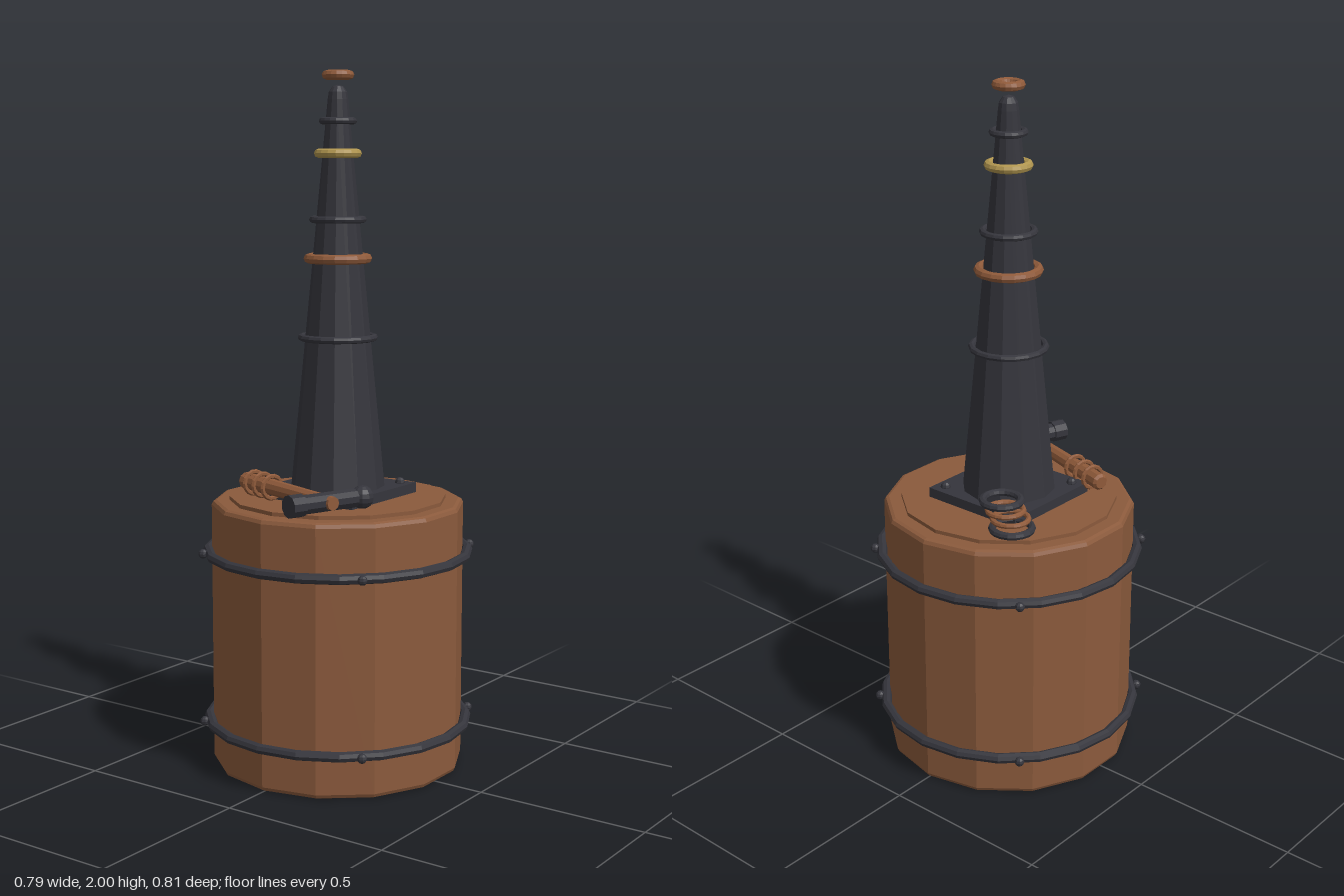
import * as THREE from 'three';

const mat = (name, color) => {
  const m = new THREE.MeshStandardMaterial({ color, flatShading: true });
  m.name = name;
  return m;
};

export function createModel() {
  const wood = mat('wood', 0x8b5a3c);
  const iron = mat('iron', 0x35353c);
  const copper = mat('copper', 0x8f5a3a);
  const brass = mat('brass', 0xb0954f);

  const model = new THREE.Group();
  model.name = 'barrelTower';
  // everything round shares this axis, set slightly back
  const core = new THREE.Group();
  core.name = 'core';
  core.position.z = -0.012;
  model.add(core);

  const add = (parent, name, geo, material, x = 0, y = 0, z = 0) => {
    const m = new THREE.Mesh(geo, material);
    m.name = name;
    m.position.set(x, y, z);
    parent.add(m);
    return m;
  };
  const lathe = (pts, sides) =>
    new THREE.LatheGeometry(pts.map(([r, y]) => new THREE.Vector2(r, y)), sides);
  const flatRing = (r, tube, sides, tubeSides = 8) =>
    new THREE.TorusGeometry(r, tube, tubeSides, sides).rotateX(Math.PI / 2);

  // drum with chamfered rims and raised lid
  add(core, 'drum', lathe([[0, 0], [0.352, 0], [0.361, 0.004], [0.366, 0.014],
    [0.366, 0.766], [0.361, 0.776], [0.352, 0.78], [0, 0.78]], 14), wood);
  add(core, 'lid', new THREE.CylinderGeometry(0.315, 0.315, 0.02, 14), wood, 0, 0.781, 0);

  // hoops with rivets on the diagonals
  for (const y of [0.13, 0.63]) {
    add(core, 'hoop', flatRing(0.378, 0.015, 20), iron, 0, y, 0);
    for (let i = 0; i < 4; i++) {
      const a = Math.PI / 4 + i * Math.PI / 2;
      add(core, 'hoopRivet', new THREE.SphereGeometry(0.014, 8, 6), iron,
        0.394 * Math.cos(a), y, 0.394 * Math.sin(a));
    }
  }

  // base plate and bolts
  add(core, 'basePlate', new THREE.BoxGeometry(0.328, 0.03, 0.328), iron, 0, 0.805, 0);
  for (const x of [-0.13, 0.13]) for (const z of [-0.13, 0.13])
    add(core, 'plateBolt', new THREE.SphereGeometry(0.015, 8, 6), iron, x, 0.822, z);

  // tapering tower with rounded tip
  add(core, 'tower', lathe([[0.136, 0.815], [0.029, 1.92], [0.026, 1.94],
    [0.016, 1.955], [0, 1.96]], 12), iron);

  // tower rings: height, radius, tube
  for (const [y, r, tube, material] of [
    [1.25, 0.105, 0.01, iron], [1.475, 0.084, 0.014, copper], [1.585, 0.072, 0.01, iron],
    [1.77, 0.055, 0.013, brass], [1.86, 0.044, 0.01, iron], [1.987, 0.033, 0.013, copper],
  ]) add(core, 'towerRing', flatRing(r, tube, 18), material, 0, y, 0);

  // loose stack of rings on the lid
  for (const [x, y, z, r, tube, material] of [
    [-0.183, 0.812, -0.212, 0.056, 0.011, iron], [-0.163, 0.828, -0.195, 0.051, 0.008, copper],
    [-0.139, 0.845, -0.188, 0.051, 0.008, copper], [-0.11, 0.86, -0.171, 0.054, 0.011, iron],
  ]) add(model, 'looseRing', flatRing(r, tube, 18), material, x, y, z);

  // mallet lying on the lid: local +x runs along the handle to the head
  const mallet = new THREE.Group();
  mallet.name = 'mallet';
  mallet.position.set(0.165, 0.835, 0.277);
  mallet.rotation.y = -0.325;
  model.add(mallet);
  const alongX = (r0, r1, len) =>
    new THREE.CylinderGeometry(r1, r0, len, 10).rotateZ(-Math.PI / 2);
  const alongZ = (r, len) => new THREE.CylinderGeometry(r, r, len, 10).rotateX(Math.PI / 2);
  add(mallet, 'handle', alongX(0.025, 0.019, 0.43), copper, -0.18, 0, 0);
  add(mallet, 'handleEnd', alongX(0.018, 0.025, 0.008), copper, -0.399, 0, 0);
  for (const x of [-0.354, -0.309, -0.262])
    add(mallet, 'gripRing', new THREE.TorusGeometry(0.032, 0.007, 6, 14).rotateY(Math.PI / 2),
      copper, x, 0, 0);
  add(mallet, 'head', alongZ(0.027, 0.21), iron, 0, 0, 0.01);
  add(mallet, 'headCap', alongZ(0.032, 0.042), iron, 0, 0, 0.102);
  add(mallet, 'headBall', new THREE.SphereGeometry(0.033, 10, 8), iron, 0.003, 0, -0.121);

  return model;
}
